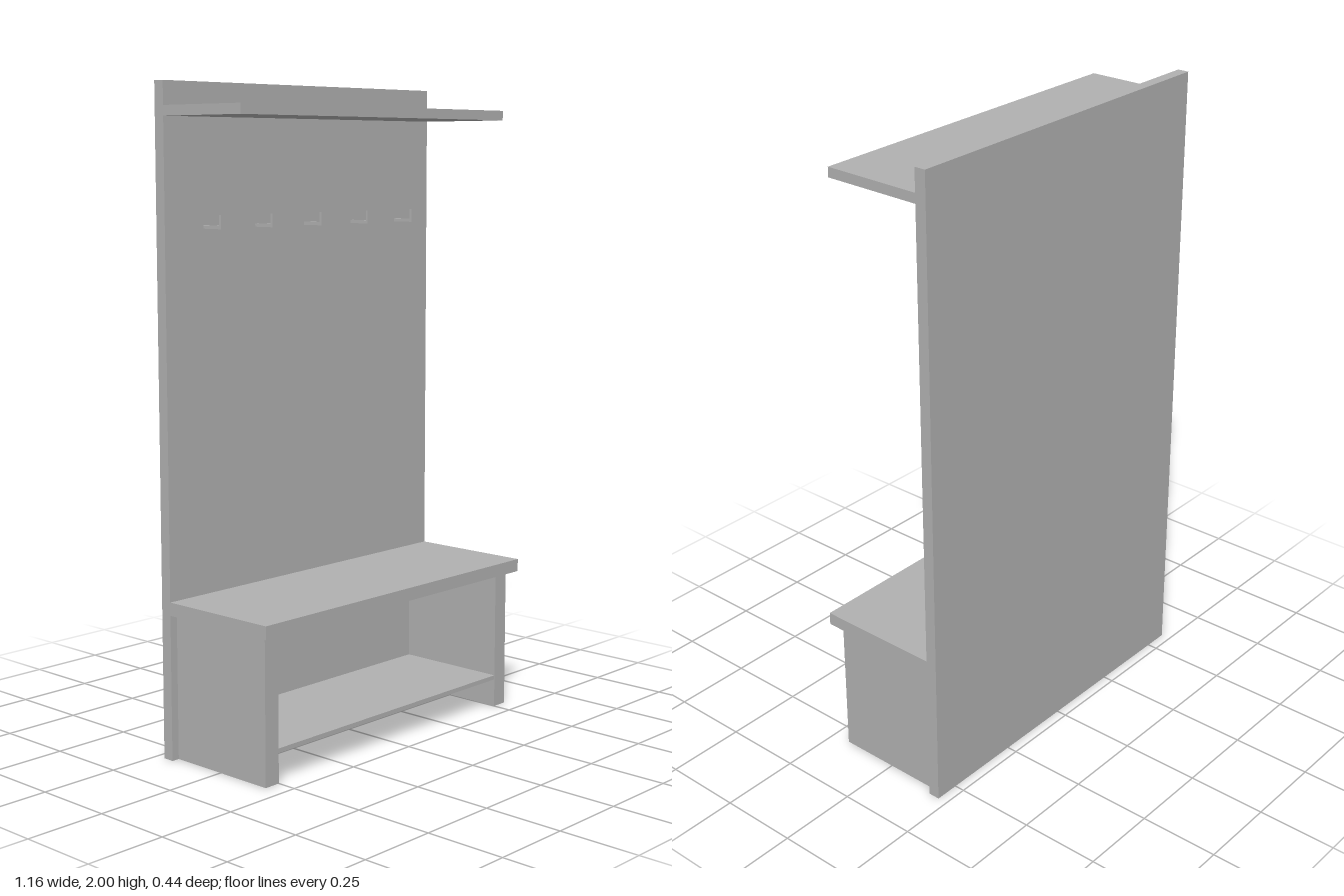
import * as THREE from 'three';

export function createModel() {
  const model = new THREE.Group();
  model.name = 'hallBench';

  const grey = new THREE.MeshStandardMaterial({ color: 0xb0b0b0 });
  grey.name = 'grey';

  // Box given by its limits along each axis
  function box(name, [x0, x1], [y0, y1], [z0, z1], parent = model) {
    const mesh = new THREE.Mesh(new THREE.BoxGeometry(x1 - x0, y1 - y0, z1 - z0), grey);
    mesh.position.set((x0 + x1) / 2, (y0 + y1) / 2, (z0 + z1) / 2);
    mesh.name = name;
    parent.add(mesh);
  }

  const halfWidth = 0.578;
  const panelFront = -0.182;
  const full = [-halfWidth, halfWidth];

  // Tall back panel and top shelf
  box('backPanel', full, [0, 2], [-0.218, panelFront]);
  box('topShelf', full, [1.9, 1.93], [panelFront, 0.134]);

  // Bench: seat, side supports and low shoe shelf
  box('seat', full, [0.445, 0.485], [panelFront, 0.218]);
  box('leftSupport', [0.5, 0.553], [0, 0.445], [panelFront, 0.188]);
  box('rightSupport', [-0.553, -0.5], [0, 0.445], [panelFront, 0.188]);
  box('shoeShelf', [-0.5, 0.5], [0.09, 0.104], [panelFront, 0.187]);

  // Row of coat hooks: an arm with an upturned tip
  for (let i = -2; i <= 2; i++) {
    const hook = new THREE.Group();
    hook.name = 'coatHook';
    hook.position.x = i * 0.211;
    box('hookArm', [-0.006, 0.006], [1.577, 1.587], [panelFront, -0.116], hook);
    box('hookTip', [-0.006, 0.006], [1.577, 1.618], [-0.116, -0.108], hook);
    model.add(hook);
  }

  return model;
}
